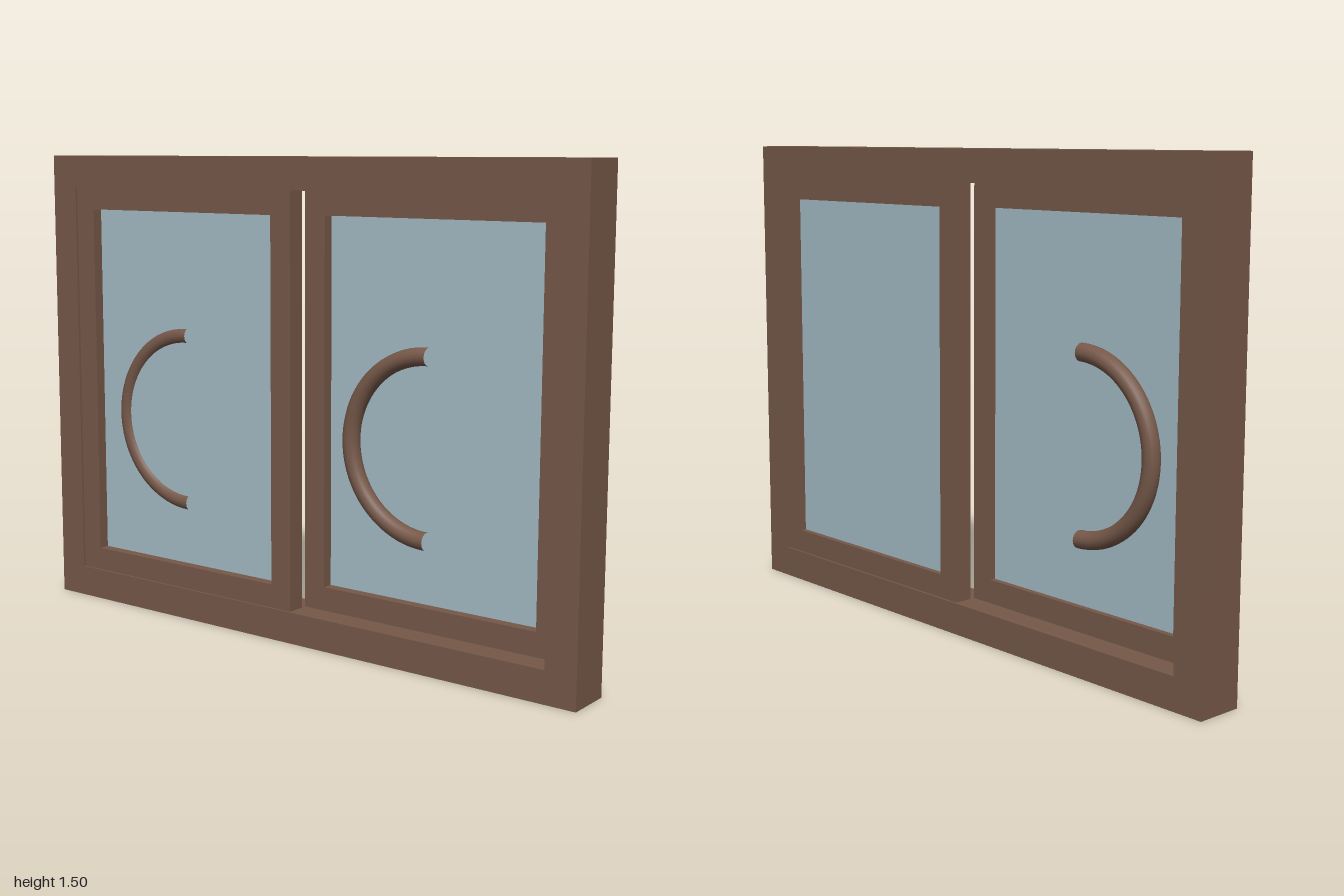
import * as THREE from 'three';

const wood = new THREE.MeshStandardMaterial({ color: 0x765849 });
wood.name = 'brown wood';
const glass = new THREE.MeshStandardMaterial({ color: 0xa4bbc5 });
glass.name = 'pale blue glass';

// Rectangular ring with a border, extruded and centred on z = 0
function ring(name, w, h, border, depth) {
  const rect = (target, a, b) => {
    target.moveTo(-a, -b);
    target.lineTo(a, -b);
    target.lineTo(a, b);
    target.lineTo(-a, b);
    target.closePath();
    return target;
  };
  const shape = rect(new THREE.Shape(), w / 2, h / 2);
  shape.holes.push(rect(new THREE.Path(), w / 2 - border, h / 2 - border));
  const geometry = new THREE.ExtrudeGeometry(shape, { depth, bevelEnabled: false });
  geometry.translate(0, 0, -depth / 2);
  const mesh = new THREE.Mesh(geometry, wood);
  mesh.name = name;
  return mesh;
}

// Sliding sash: wooden ring, glass pane and curved handle
function sash(name, x, z, handleZ) {
  const group = new THREE.Group();
  group.name = name;
  group.position.set(x, 0.75, z);
  group.add(ring('sashFrame', 0.9, 1.3, 0.075, 0.06));

  const pane = new THREE.Mesh(new THREE.BoxGeometry(0.75, 1.15, 0.006), glass);
  pane.name = 'glassPane';
  pane.position.z = -0.0075;
  group.add(pane);

  // Half-ring handle opening towards +x, with open tube ends
  const handle = new THREE.Mesh(new THREE.TorusGeometry(0.275, 0.0275, 16, 48, Math.PI), wood);
  handle.name = 'handle';
  handle.rotation.z = Math.PI / 2;
  handle.position.set(0, -0.0975, handleZ);
  group.add(handle);
  return group;
}

export function createModel() {
  const model = new THREE.Group();
  model.name = 'slidingWindow';

  const frame = ring('outerFrame', 2, 1.5, 0.1, 0.15);
  frame.position.y = 0.75;
  model.add(frame);

  // The two sashes run in separate tracks, one behind the other
  model.add(sash('frontSash', -0.45, 0.0375, -0.02));
  model.add(sash('backSash', 0.45, -0.0375, 0.0265));
  return model;
}
